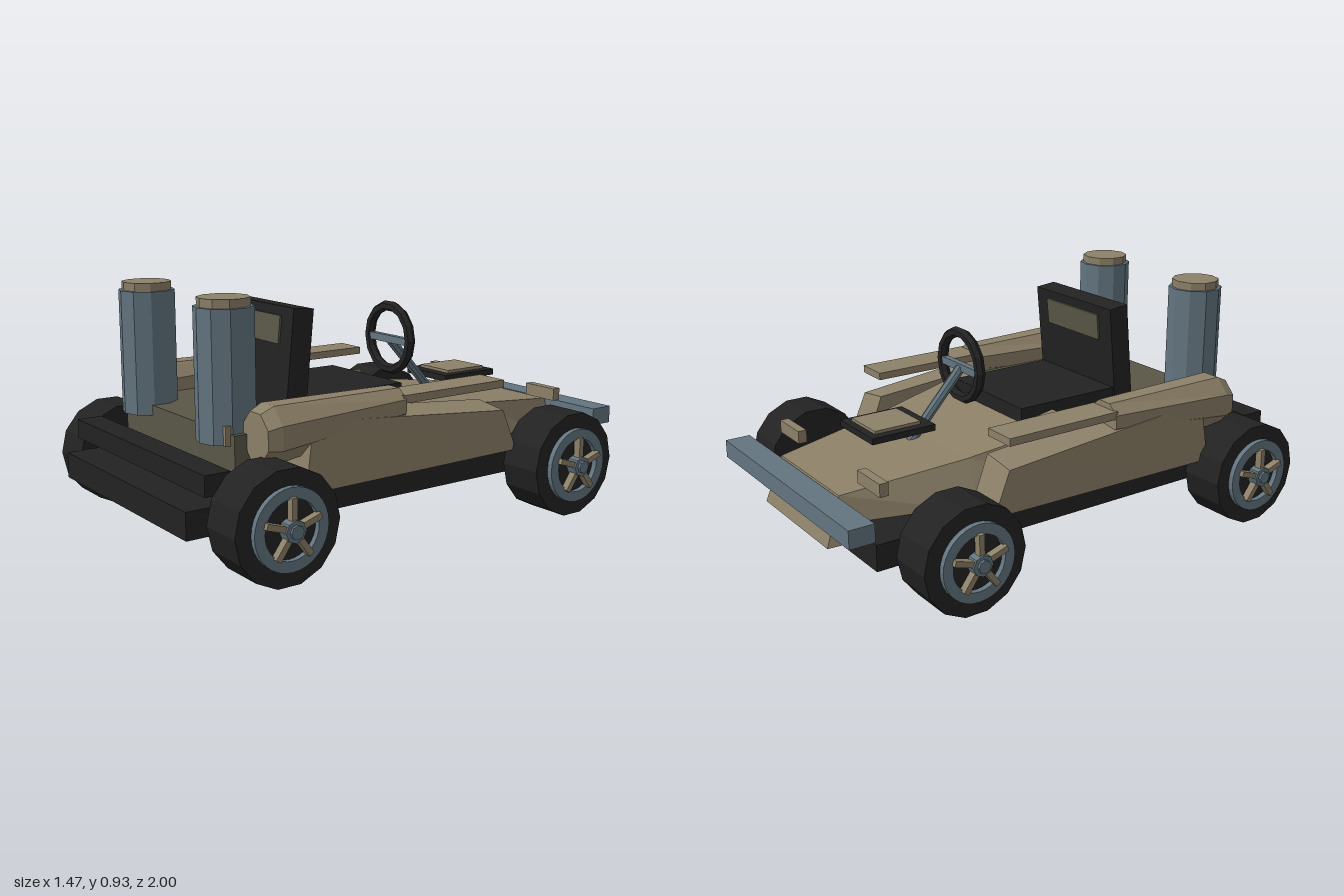
import * as THREE from 'three';

const mat = (name, color) => {
  const m = new THREE.MeshStandardMaterial({ color, flatShading: true });
  m.name = name;
  return m;
};

// Solid through cross-sections ordered from -z to +z, points counter-clockwise seen from +z
function loft(sections) {
  const pos = [];
  const tri = (...pts) => pts.forEach((p) => pos.push(...p));
  const n = sections[0].length;
  for (let s = 0; s < sections.length - 1; s++) {
    const a = sections[s], b = sections[s + 1];
    for (let i = 0; i < n; i++) {
      const j = (i + 1) % n;
      tri(a[i], a[j], b[j]);
      tri(a[i], b[j], b[i]);
    }
  }
  const first = sections[0], last = sections[sections.length - 1];
  for (let i = 1; i < n - 1; i++) {
    tri(first[0], first[i + 1], first[i]);
    tri(last[0], last[i], last[i + 1]);
  }
  const g = new THREE.BufferGeometry();
  g.setAttribute('position', new THREE.Float32BufferAttribute(pos, 3));
  g.computeVertexNormals();
  return g;
}

const mirrored = (sections, side) => side > 0 ? sections
  : sections.map((s) => s.map(([x, y, z]) => [-x, y, z]).reverse());

export function createModel() {
  const kart = new THREE.Group();
  kart.name = 'kart';
  const tan = mat('tan', 0x8c8068);
  const steel = mat('steelBlue', 0x637580);
  const black = mat('black', 0x222222);
  const olive = mat('darkOlive', 0x5a5747);

  const add = (name, geo, material, parent = kart) => {
    const m = new THREE.Mesh(geo, material);
    m.name = name;
    parent.add(m);
    return m;
  };
  // Box given by its limits
  const box = (name, material, x0, x1, y0, y1, z0, z1, parent) => {
    const m = add(name, new THREE.BoxGeometry(x1 - x0, y1 - y0, z1 - z0), material, parent);
    m.position.set((x0 + x1) / 2, (y0 + y1) / 2, (z0 + z1) / 2);
    return m;
  };
  // Box on one side of the model
  const sideBox = (name, material, s, x0, x1, ...rest) =>
    box(name, material, s > 0 ? x0 : -x1, s > 0 ? x1 : -x0, ...rest);

  // Chassis, bumpers and deck
  box('chassis', black, -0.475, 0.475, 0.16, 0.26, -0.88, 1);
  box('wideBumper', black, -0.5, 0.5, 0.305, 0.38, 0.84, 0.94);
  box('noseBumper', steel, -0.51, 0.51, 0.29, 0.36, -1, -0.9);
  box('deck', olive, -0.41, 0.41, 0.25, 0.47, 0.1, 0.77);

  // Tapered hood
  const hoodSection = (bx, by, bz, tx, ty, tz) =>
    [[-bx, by, bz], [bx, by, bz], [tx, ty, tz], [-tx, ty, tz]];
  add('hood', loft([
    hoodSection(0.255, 0.18, -0.955, 0.235, 0.36, -0.89),
    hoodSection(0.4, 0.235, -0.4, 0.315, 0.415, -0.4),
    hoodSection(0.47, 0.26, 0.12, 0.385, 0.49, 0.05),
  ]), tan);
  box('hoodPlate', black, -0.125, 0.125, 0.47, 0.495, -0.69, -0.42);
  box('hoodPanel', tan, -0.09, 0.09, 0.495, 0.507, -0.66, -0.465);

  // Side pods
  const octagon = (cx, cy, rx, ry, z) => Array.from({ length: 8 }, (_, i) => {
    const a = (i + 0.5) * Math.PI / 4, k = 1 / Math.cos(Math.PI / 8);
    return [cx + Math.cos(a) * rx * k, cy + Math.sin(a) * ry * k, z];
  });
  const podSections = [
    [[0.39, 0.265, -0.435], [0.535, 0.265, -0.435], [0.53, 0.43, -0.365], [0.39, 0.45, -0.365]],
    [[0.38, 0.265, 0.58], [0.56, 0.265, 0.58], [0.55, 0.515, 0.54], [0.38, 0.525, 0.54]],
  ];
  const bulgeSections = [
    octagon(0.46, 0.51, 0.075, 0.062, 0.12),
    octagon(0.465, 0.475, 0.095, 0.103, 0.67),
    octagon(0.465, 0.47, 0.08, 0.085, 0.72),
  ];
  for (const s of [1, -1]) {
    add('sidePod', loft(mirrored(podSections, s)), tan);
    add('podBulge', loft(mirrored(bulgeSections, s)), tan);
    sideBox('podRail', tan, s, 0.395, 0.53, 0.52, 0.55, -0.365, 0.13);
    sideBox('hoodFin', tan, s, 0.235, 0.395, 0.39, 0.44, -0.815, -0.78);
    sideBox('canBracket', tan, s, 0.37, 0.385, 0.43, 0.5, 0.75, 0.79);

    // Upright cans
    const can = add('can', new THREE.CylinderGeometry(0.107, 0.107, 0.47, 10), steel);
    can.position.set(s * 0.287, 0.665, 0.73);
    const cap = add('canCap', new THREE.CylinderGeometry(0.094, 0.094, 0.032, 10), tan);
    cap.position.set(s * 0.287, 0.915, 0.73);
  }

  // Seat
  box('seatBase', black, -0.232, 0.232, 0.44, 0.522, -0.1, 0.4);
  const back = new THREE.Group();
  back.name = 'seatBack';
  back.position.set(0, 0.665, 0.385);
  back.rotation.x = -0.1;
  kart.add(back);
  box('backrest', black, -0.24, 0.24, -0.2, 0.19, -0.044, 0.044, back);
  box('backrestPanel', olive, -0.165, 0.165, 0.05, 0.155, -0.052, 0.052, back);

  // Steering
  const ring = add('steeringWheel', new THREE.TorusGeometry(0.132, 0.021, 6, 14), black);
  ring.position.set(0, 0.66, -0.222);
  box('steeringSpoke', steel, -0.125, 0.125, 0.64, 0.67, -0.235, -0.21);
  const from = new THREE.Vector3(0, 0.395, -0.46), to = new THREE.Vector3(0, 0.65, -0.225);
  const column = add('steeringColumn', new THREE.CylinderGeometry(0.02, 0.02, from.distanceTo(to), 8), steel);
  column.position.copy(from).lerp(to, 0.5);
  column.quaternion.setFromUnitVectors(new THREE.Vector3(0, 1, 0), to.clone().sub(from).normalize());

  // Wheels and axles, built along x
  const disc = (r, x0, x1, sides) =>
    new THREE.CylinderGeometry(r, r, x1 - x0, sides).rotateZ(Math.PI / 2).translate((x0 + x1) / 2, 0, 0);
  const rimShape = new THREE.Shape().absarc(0, 0, 0.146, 0, Math.PI * 2);
  rimShape.holes.push(new THREE.Path().absarc(0, 0, 0.106, 0, Math.PI * 2, true));
  const rimGeo = new THREE.ExtrudeGeometry(rimShape, { depth: 0.025, bevelEnabled: false, curveSegments: 16 })
    .rotateY(Math.PI / 2).translate(0.676, 0, 0);
  for (const z of [0.73, -0.61]) {
    const axle = add('axle', disc(0.025, -0.735, 0.735, 8), steel);
    axle.position.set(0, 0.207, z);
    for (const s of [1, -1]) {
      const wheel = new THREE.Group();
      wheel.name = 'wheel';
      wheel.position.set(0, 0.207, z);
      wheel.rotation.y = s > 0 ? 0 : Math.PI;
      kart.add(wheel);
      add('tire', disc(0.207, 0.5, 0.68, 14), black, wheel);
      add('rim', rimGeo, steel, wheel);
      add('hub', disc(0.04, 0.67, 0.725, 8), steel, wheel);
      for (let i = 0; i < 5; i++) {
        const spoke = add('spoke', new THREE.BoxGeometry(0.03, 0.085, 0.022).translate(0.703, 0.07, 0), tan, wheel);
        spoke.rotation.x = i * Math.PI * 2 / 5;
      }
    }
  }
  return kart;
}
